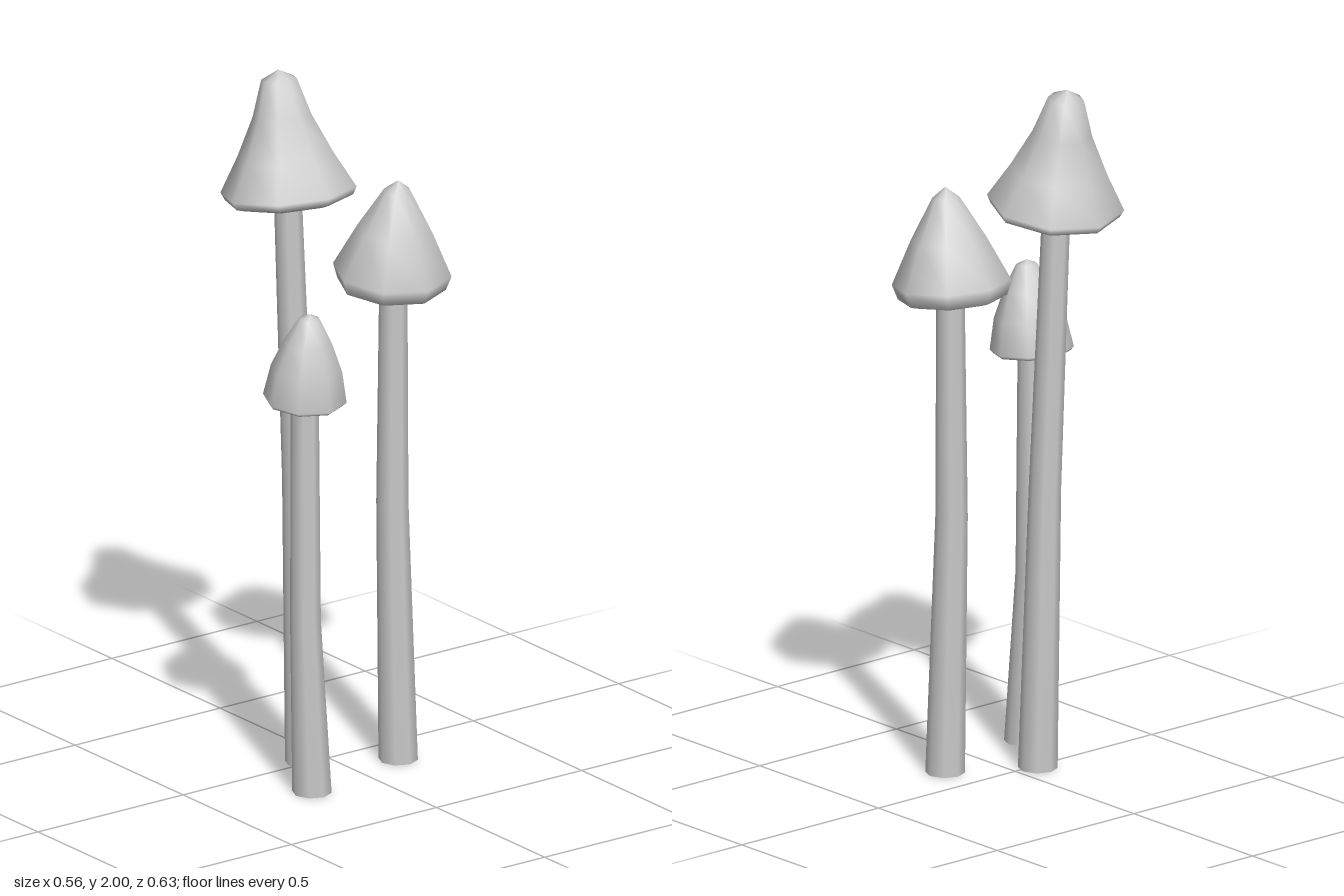
import * as THREE from 'three';

const SIDES = 8;
const material = new THREE.MeshStandardMaterial({ color: 0xcccccc, side: THREE.DoubleSide });

// stem: centre line given as [x, y, radius] rings; cap: profile as [radius, height] above the rim
const mushrooms = [
  {
    name: 'tallMushroom', z: 0.07,
    stem: [[-0.015, 0, 0.055], [-0.045, 0.82, 0.045], [-0.095, 1.68, 0.039]],
    rim: [-0.09, 1.66], tilt: 0.14,
    cap: [[0.03, 0], [0.155, -0.03], [0.18, -0.022], [0.191, 0], [0.135, 0.1], [0.083, 0.21], [0.05, 0.315], [0, 0.342]],
  },
  {
    name: 'middleMushroom', z: -0.15,
    stem: [[0.122, 0, 0.055], [0.095, 0.75, 0.045], [0.1, 1.45, 0.039]],
    rim: [0.095, 1.43], tilt: -0.1,
    cap: [[0.03, -0.01], [0.125, -0.05], [0.152, -0.042], [0.166, 0], [0.105, 0.125], [0.038, 0.242], [0, 0.272]],
  },
  {
    name: 'smallMushroom', z: 0.2,
    stem: [[0.193, 0, 0.055], [0.163, 0.5, 0.043], [0.16, 1.18, 0.039]],
    rim: [0.16, 1.148], tilt: -0.09,
    cap: [[0.03, 0.02], [0.095, -0.013], [0.108, -0.01], [0.117, 0], [0.1, 0.09], [0.068, 0.17], [0.03, 0.24], [0, 0.253]],
  },
];

// Open tube whose rings are moved onto the bent centre line
function stemGeometry(rings) {
  const n = rings.length - 1;
  const geometry = new THREE.CylinderGeometry(1, 1, n, SIDES, n, true);
  const p = geometry.attributes.position;
  for (let i = 0; i < p.count; i++) {
    const [x, y, r] = rings[Math.round(p.getY(i) + n / 2)];
    p.setXYZ(i, x + p.getX(i) * r, y, p.getZ(i) * r);
  }
  // Radial normals keep the tube smooth across its seam
  const normal = geometry.attributes.normal;
  for (let i = 0; i < p.count; i++) {
    const [x] = rings.find((ring) => Math.abs(ring[1] - p.getY(i)) < 1e-4);
    const v = new THREE.Vector3(p.getX(i) - x, 0, p.getZ(i)).normalize();
    normal.setXYZ(i, v.x, v.y, v.z);
  }
  return geometry;
}

export function createModel() {
  const model = new THREE.Group();
  model.name = 'mushroomCluster';
  for (const m of mushrooms) {
    const group = new THREE.Group();
    group.name = m.name;
    group.position.z = m.z;

    const stem = new THREE.Mesh(stemGeometry(m.stem), material);
    stem.name = 'stem';

    // Pointed cap with a turned-in rim and a hollow underside
    const profile = m.cap.map(([r, h]) => new THREE.Vector2(r, h));
    const cap = new THREE.Mesh(new THREE.LatheGeometry(profile, SIDES), material);
    cap.name = 'cap';
    cap.position.set(m.rim[0], m.rim[1], 0);
    cap.rotation.z = m.tilt;

    group.add(stem, cap);
    model.add(group);
  }
  return model;
}
